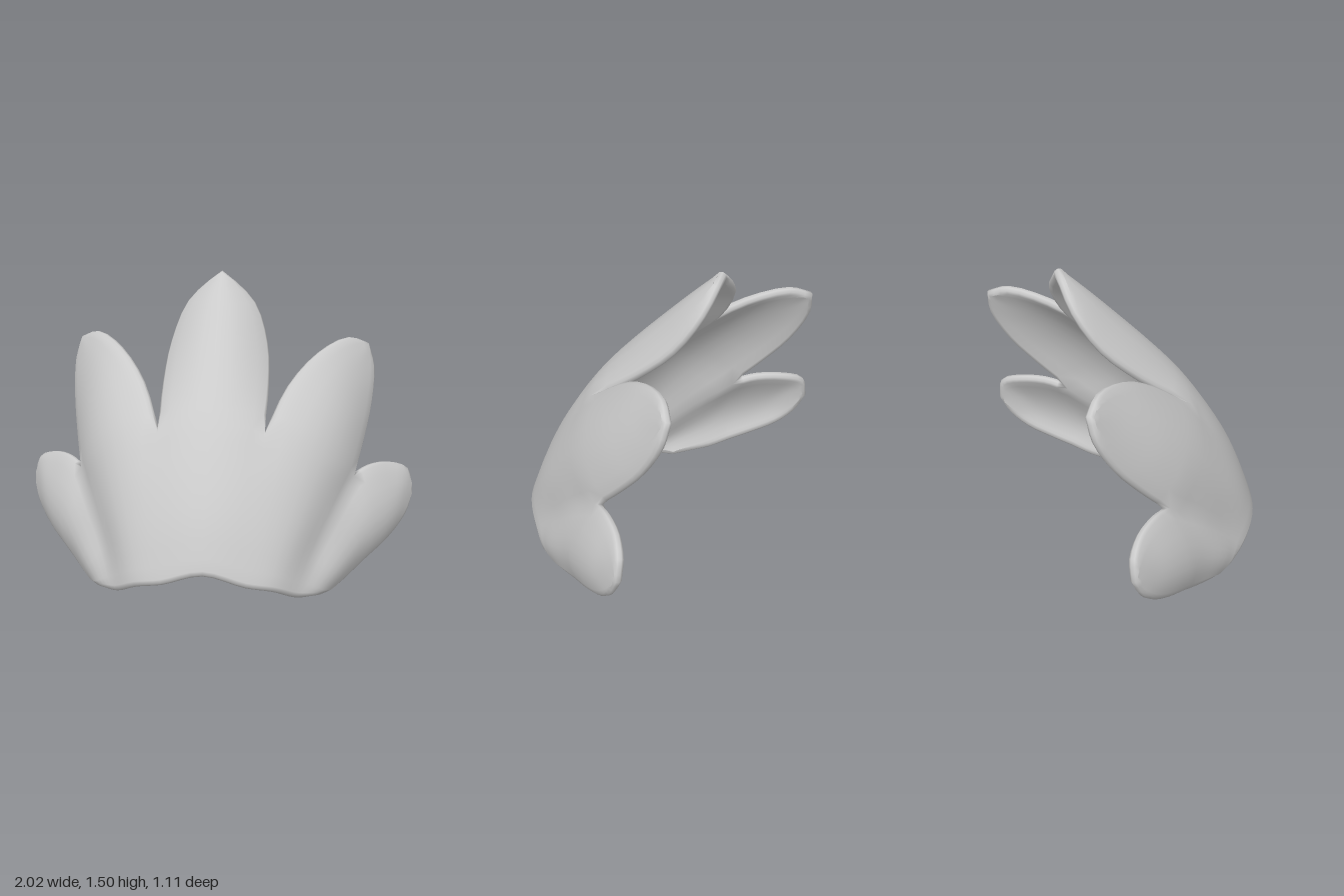
import * as THREE from 'three';
import { mergeVertices } from 'three/addons/utils/BufferGeometryUtils.js';

const SUB = 3, COLS = 8, BASE = 3, TIP = 4; // subdivisions, columns per petal, spans below / above the notch
const HALF = 0.024, RIM = 4;                // half thickness, steps round the rim

const V = ([x, y, z]) => new THREE.Vector3(x, y, z);
const sample = (pts, spans) => {
  const curve = new THREE.CatmullRomCurve3(pts.map(V));
  return Array.from({ length: spans * SUB + 1 }, (_, i) => curve.getPoint(i / (spans * SUB)));
};
// An edge runs along a shared seam up to the notch, then round the free petal
const edge = (seam, free) => [...sample(seam, BASE), ...sample([seam[BASE], ...free], TIP).slice(1)];
const mirror = (line) => line.map((p) => new THREE.Vector3(-p.x, p.y, p.z));

// Seams between neighbouring petals and the lower border
const seamInner = [[.2, .14, .52], [.225, .38, .418], [.25, .6, .285], [.26, .795, .13]];
const seamOuter = [[.44, .04, .375], [.51, .2, .222], [.6, .36, .05], [.695, .51, -.16]];
const lowerRim = [[.59, .0, .16], [.645, .02, .08], [.7, .045, -.01], [.765, .085, -.1]];

function petalStrips() {
  const topTip = [0, 1.487, -.435], midTip = [.748, 1.1, -.555], lowTip = [.997, .35, -.44];
  const topEdge = edge(seamInner, [[.262, .97, -.11], [.24, 1.14, -.295], [.165, 1.33, -.41], topTip]);
  const top = {
    left: mirror(topEdge),
    mid: sample([[0, .2, .54], [0, .43, .45], [0, .65, .325], [0, .85, .185], [0, 1.03, .025],
      [0, 1.19, -.13], [0, 1.34, -.28], topTip], BASE + TIP),
    right: topEdge,
  };
  const middle = {
    left: edge(seamInner, [[.36, .98, -.1], [.5, 1.105, -.3], [.65, 1.148, -.475], midTip]),
    mid: sample([[.33, .105, .47], [.393, .3, .355], [.465, .49, .207], [.535, .68, .045], [.59, .825, -.115],
      [.637, .925, -.258], [.685, 1.01, -.4], midTip], BASE + TIP),
    right: edge(seamOuter, [[.737, .66, -.31], [.77, .81, -.44], [.78, .98, -.535], midTip]),
  };
  const low = {
    left: edge(seamOuter, [[.77, .53, -.25], [.87, .515, -.36], [.97, .46, -.435], lowTip]),
    mid: sample([[.52, .015, .28], [.6, .1, .188], [.692, .185, .052], [.777, .27, -.07], [.845, .3, -.165],
      [.9, .32, -.25], [.945, .34, -.335], lowTip], BASE + TIP),
    right: edge(lowerRim, [[.84, .125, -.2], [.915, .18, -.31], [.975, .255, -.39], lowTip]),
  };
  const flip = (s) => ({ left: mirror(s.right), mid: mirror(s.mid), right: mirror(s.left) });
  return [flip(low), flip(middle), top, middle, low];
}

// Curved sheet: one smooth sweep across the base that turns into separate cupped petals at the notches
function sheetGeometry() {
  const pos = [], index = [], strips = petalStrips(), w = COLS + 1, notch = BASE * SUB;
  const sweeps = Array.from({ length: notch }, (_, r) => new THREE.CatmullRomCurve3(
    [strips[0].left[r], ...strips.flatMap((s) => [s.mid[r], s.right[r]])]));
  strips.forEach(({ left, mid, right }, s) => {
    const start = pos.length / 3;
    mid.forEach((m, r) => {
      for (let c = 0; c <= COLS; c++) {
        const v = (2 * c) / COLS - 1;
        const half = right[r].clone().sub(left[r]).multiplyScalar(v / 2);
        const sag = left[r].clone().add(right[r]).multiplyScalar(.5).sub(m).multiplyScalar(v * v);
        const p = m.clone().add(half).add(sag);
        if (r < notch) p.lerp(sweeps[r].getPoint((s + c / COLS) / strips.length), 1 - (r / notch) ** 2);
        pos.push(...p.toArray());
        if (r < mid.length - 1 && c < COLS) {
          const a = start + r * w + c;
          index.push(a, a + 1, a + w + 1, a, a + w + 1, a + w);
        }
      }
    });
  });
  const g = new THREE.BufferGeometry();
  g.setAttribute('position', new THREE.Float32BufferAttribute(pos, 3));
  g.setIndex(index);
  const welded = mergeVertices(g, 1e-4);
  const idx = welded.index.array, clean = [];
  for (let i = 0; i < idx.length; i += 3) {
    const [a, b, c] = [idx[i], idx[i + 1], idx[i + 2]];
    if (a !== b && b !== c && c !== a) clean.push(a, b, c);
  }
  welded.setIndex(clean);
  welded.computeVertexNormals();
  return welded;
}

// Gives the sheet thickness and a rounded rim along its open border
function thicken(sheet) {
  const P = sheet.attributes.position, N = sheet.attributes.normal, n = P.count;
  const idx = Array.from(sheet.index.array);
  const points = [], normals = [];
  for (let i = 0; i < n; i++) {
    points.push(new THREE.Vector3().fromBufferAttribute(P, i));
    normals.push(new THREE.Vector3().fromBufferAttribute(N, i));
  }
  // Border edges are those used by one face only
  const edges = new Map();
  for (let i = 0; i < idx.length; i += 3)
    for (let k = 0; k < 3; k++) {
      const a = idx[i + k], b = idx[i + ((k + 1) % 3)];
      edges.set(`${a},${b}`, [a, b]);
    }
  const border = [...edges.values()].filter(([a, b]) => !edges.has(`${b},${a}`));
  const outward = new Map();
  for (const [a, b] of border) {
    const t = points[b].clone().sub(points[a]).normalize();
    for (const i of [a, b]) {
      if (!outward.has(i)) outward.set(i, new THREE.Vector3());
      outward.get(i).add(t.clone().cross(normals[i]));
    }
  }
  for (const [i, out] of outward) points[i].addScaledVector(out.normalize(), -HALF);

  const verts = [];
  for (const side of [1, -1])
    points.forEach((p, i) => verts.push(p.clone().addScaledVector(normals[i], side * HALF)));
  const faces = [...idx];
  for (let i = 0; i < idx.length; i += 3) faces.push(idx[i] + n, idx[i + 2] + n, idx[i + 1] + n);

  const rings = new Map();
  for (const [i, out] of outward) {
    const ring = [i];
    for (let k = 1; k < RIM; k++) {
      const a = (Math.PI * k) / RIM;
      ring.push(verts.length);
      verts.push(points[i].clone().addScaledVector(normals[i], HALF * Math.cos(a))
        .addScaledVector(out, HALF * Math.sin(a)));
    }
    rings.set(i, [...ring, i + n]);
  }
  for (const [a, b] of border) {
    const A = rings.get(a), B = rings.get(b);
    for (let k = 0; k < RIM; k++) faces.push(B[k], A[k], A[k + 1], B[k], A[k + 1], B[k + 1]);
  }
  const g = new THREE.BufferGeometry().setFromPoints(verts);
  g.setIndex(faces);
  g.computeVertexNormals();
  return g;
}

export function createModel() {
  const group = new THREE.Group();
  group.name = 'petalShell';
  const mesh = new THREE.Mesh(thicken(sheetGeometry()), new THREE.MeshStandardMaterial({ color: 0xcccccc }));
  mesh.name = 'fivePetalShell';
  group.add(mesh);
  return group;
}
